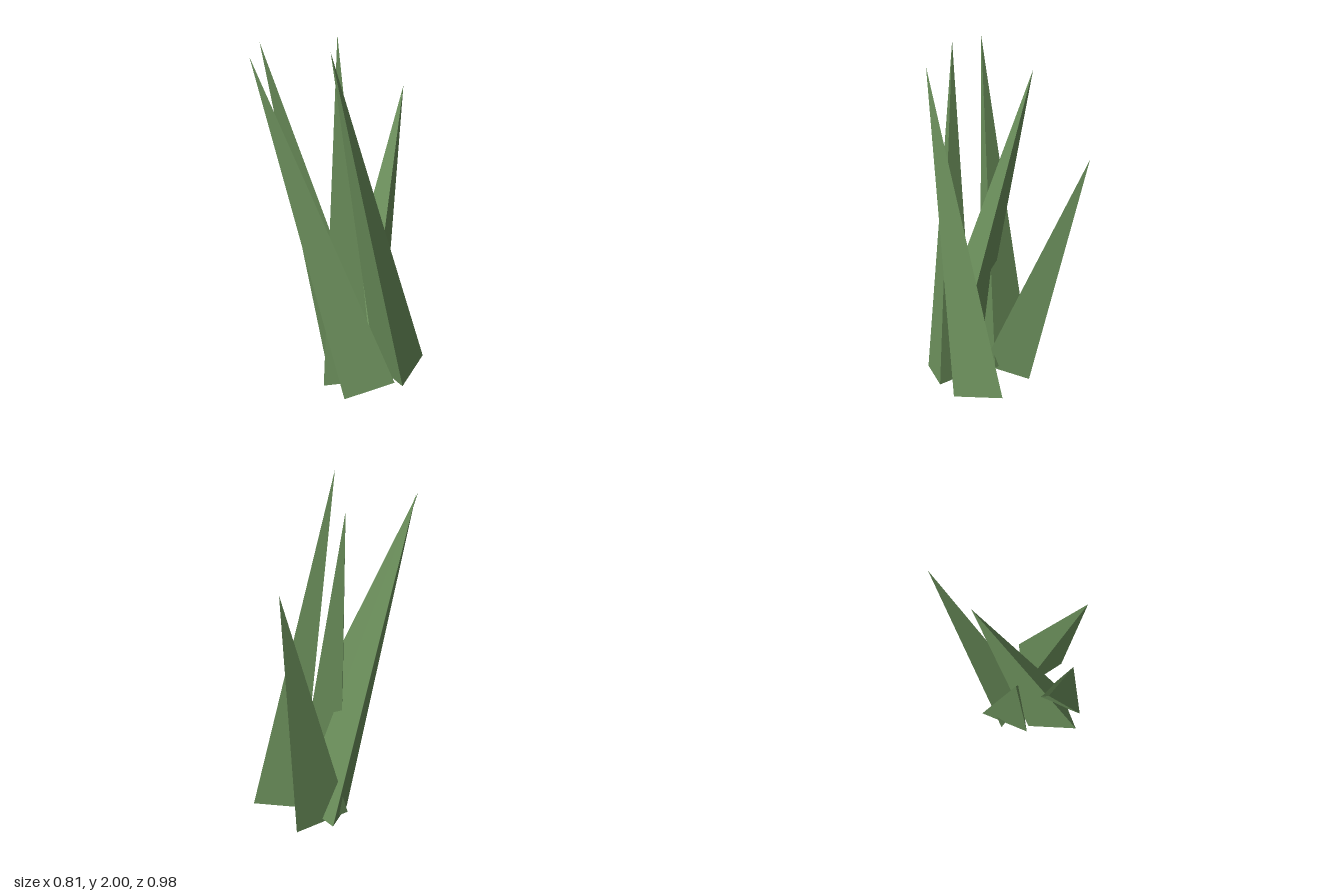
import * as THREE from 'three';

// Three-sided spike from a tip and three base corners (counter-clockwise from above)
function bladeGeometry(tip, corners) {
  const points = [];
  corners.forEach((c, i) => points.push(...tip, ...c, ...corners[(i + 1) % 3]));
  points.push(...corners[0], ...corners[2], ...corners[1]); // base cap
  const geometry = new THREE.BufferGeometry();
  geometry.setAttribute('position', new THREE.Float32BufferAttribute(points, 3));
  geometry.computeVertexNormals(); // unshared corners keep the faces flat
  return geometry;
}

// Each blade leans its own way out of the tuft
const blades = {
  leftLeaningBlade: {
    tip: [-0.405, 1.95, 0.345],
    base: [[-0.18, 0.047, -0.1], [-0.09, 0.015, 0.185], [0.1, 0.087, -0.03]],
  },
  frontBlade: {
    tip: [-0.335, 1.915, 0.49],
    base: [[0.125, 0.027, 0.1], [0.21, 0.015, 0.37], [0.402, 0.105, 0.165]],
  },
  tallBlade: {
    tip: [0.125, 2.0, 0.365],
    base: [[0.105, 0.038, -0.01], [0.39, 0.04, 0.08], [0.31, 0.09, -0.2]],
  },
  middleBlade: {
    tip: [-0.23, 1.935, -0.075],
    base: [[-0.055, 0.012, 0.17], [0.1, 0.082, 0.42], [0.25, 0.064, 0.17]],
  },
  backBlade: {
    tip: [-0.1, 1.575, -0.49],
    base: [[-0.18, 0.07, 0.055], [0.105, 0.082, 0.05], [0, 0, -0.205]],
  },
};

export function createModel() {
  const group = new THREE.Group();
  group.name = 'grassTuft';
  const grass = new THREE.MeshStandardMaterial({ color: 0x6b8f5b, flatShading: true });
  grass.name = 'grassGreen';
  for (const [name, { tip, base }] of Object.entries(blades)) {
    const mesh = new THREE.Mesh(bladeGeometry(tip, base), grass);
    mesh.name = name;
    group.add(mesh);
  }
  return group;
}
